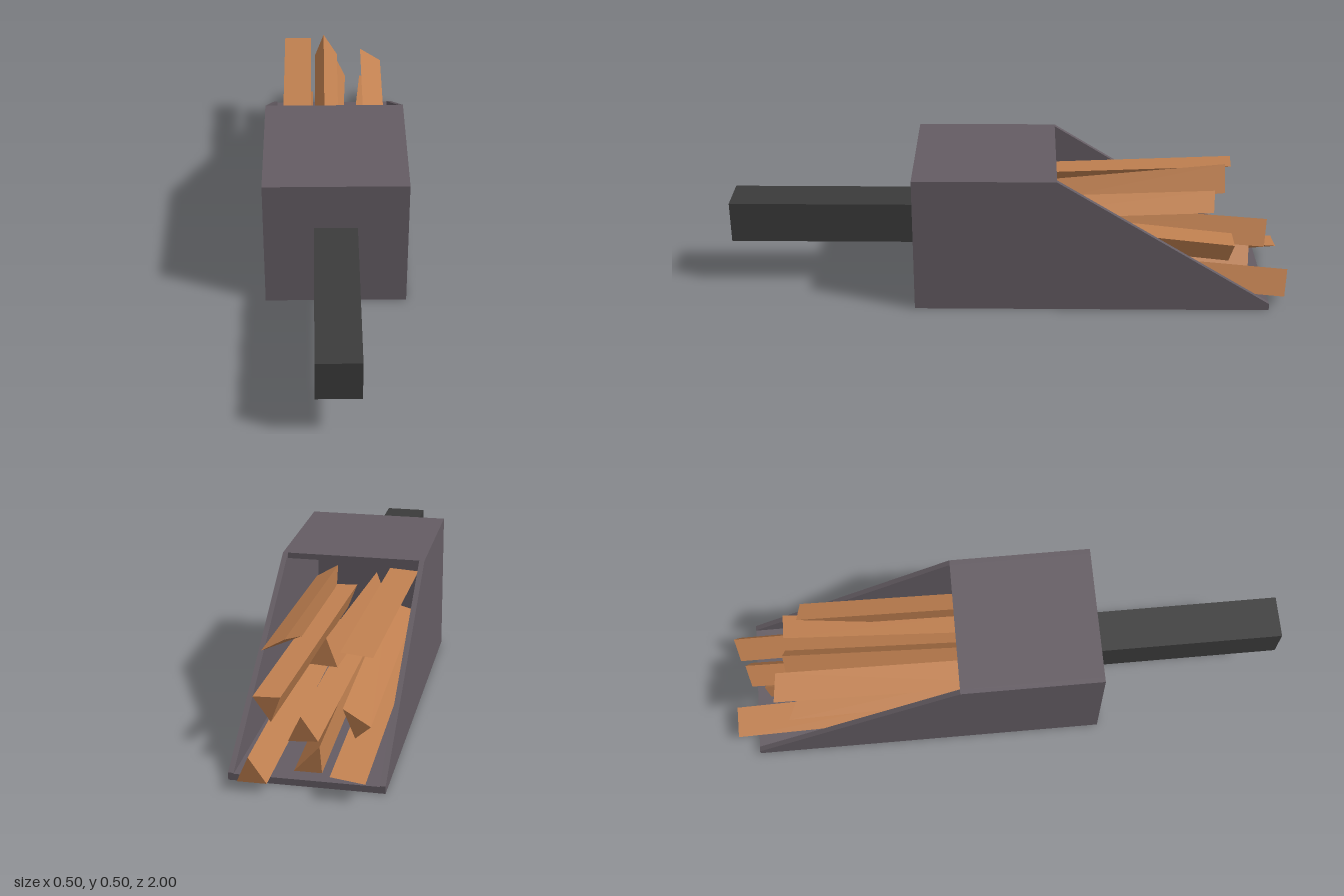
import * as THREE from 'three';
import { ConvexGeometry } from 'three/addons/geometries/ConvexGeometry.js';

const material = (name, color) => Object.assign(new THREE.MeshStandardMaterial({ color, flatShading: true }), { name });

export function createModel() {
  const model = new THREE.Group();
  const metal = material('scoop grey', 0x645c63);
  const dark = material('handle charcoal', 0x3b3b3b);
  const wood = material('wood brown', 0xc08050);

  const add = (name, geometry, mat, parent = model) => {
    const mesh = new THREE.Mesh(geometry, mat);
    mesh.name = name;
    parent.add(mesh);
    return mesh;
  };
  // Box given by its min and max corners
  const box = (name, a, b, mat) => {
    const g = new THREE.BoxGeometry(b[0] - a[0], b[1] - a[1], b[2] - a[2]);
    g.translate((a[0] + b[0]) / 2, (a[1] + b[1]) / 2, (a[2] + b[2]) / 2);
    return add(name, g, mat);
  };

  // Hollow scoop: slanted side walls, floor, roof and closed front
  const t = 0.018, front = 0.33, lip = -0.93, roofEnd = -0.17, w = 0.25;
  const profile = new THREE.Shape([
    [front, 0], [front, 0.5], [roofEnd, 0.5], [lip, 0.025], [lip, 0],
  ].map(([z, y]) => new THREE.Vector2(z, y)));
  const wall = new THREE.ExtrudeGeometry(profile, { depth: t, bevelEnabled: false });
  wall.rotateY(-Math.PI / 2);
  add('leftWall', wall, metal).position.x = w;
  add('rightWall', wall, metal).position.x = -w + t;
  box('floor', [-w + t, 0, lip], [w - t, 0.022, front], metal);
  box('roof', [-w + t, 0.48, roofEnd], [w - t, 0.5, front], metal);
  box('frontWall', [-w + t, 0.022, front - t], [w - t, 0.48, front], metal);

  // Handle
  box('handle', [-0.075, 0.175, front], [0.075, 0.325, 1], dark);

  // Split logs: three end corners [x, y, z], then x and y drift per unit towards the front
  const logs = [
    // bottom row
    [[-0.2, 0.063, -1], [-0.09, 0.078, -1], [-0.14, 0.025, -0.72], 0, 0.06],
    [[-0.035, 0.12, -0.89], [0.05, 0.025, -0.88], [-0.04, 0.025, -0.88], 0, 0.06],
    [[0.165, 0.12, -1], [0.205, 0.03, -0.99], [0.11, 0.03, -0.99], -0.03, 0.08],
    // middle row
    [[-0.18, 0.158, -0.8], [-0.08, 0.19, -0.75], [-0.12, 0.09, -0.75], 0, 0.06],
    [[0.012, 0.243, -0.94], [0.055, 0.152, -0.93], [-0.04, 0.158, -0.93], -0.04, 0.06],
    [[0.2, 0.232, -0.8], [0.11, 0.235, -0.8], [0.145, 0.143, -0.79], -0.08, 0.07],
    // top row
    [[-0.19, 0.402, -0.82], [-0.085, 0.408, -0.81], [-0.14, 0.33, -0.48], 0, -0.04],
    [[-0.035, 0.44, -0.78], [0.018, 0.35, -0.78], [-0.07, 0.345, -0.78], 0, -0.1],
    [[0.11, 0.404, -0.73], [0.19, 0.356, -0.72], [0.115, 0.313, -0.47], 0, -0.04],
  ];
  const bundle = new THREE.Group();
  bundle.name = 'firewood';
  model.add(bundle);
  const innerZ = 0.1;
  for (const [a, b, c, dx, dy] of logs) {
    const points = [a, b, c].flatMap(([x, y, z]) => [
      new THREE.Vector3(x, y, z),
      new THREE.Vector3(x + dx * (innerZ - z), y + dy * (innerZ - z), innerZ),
    ]);
    add('log', new ConvexGeometry(points), wood, bundle);
  }
  return model;
}
